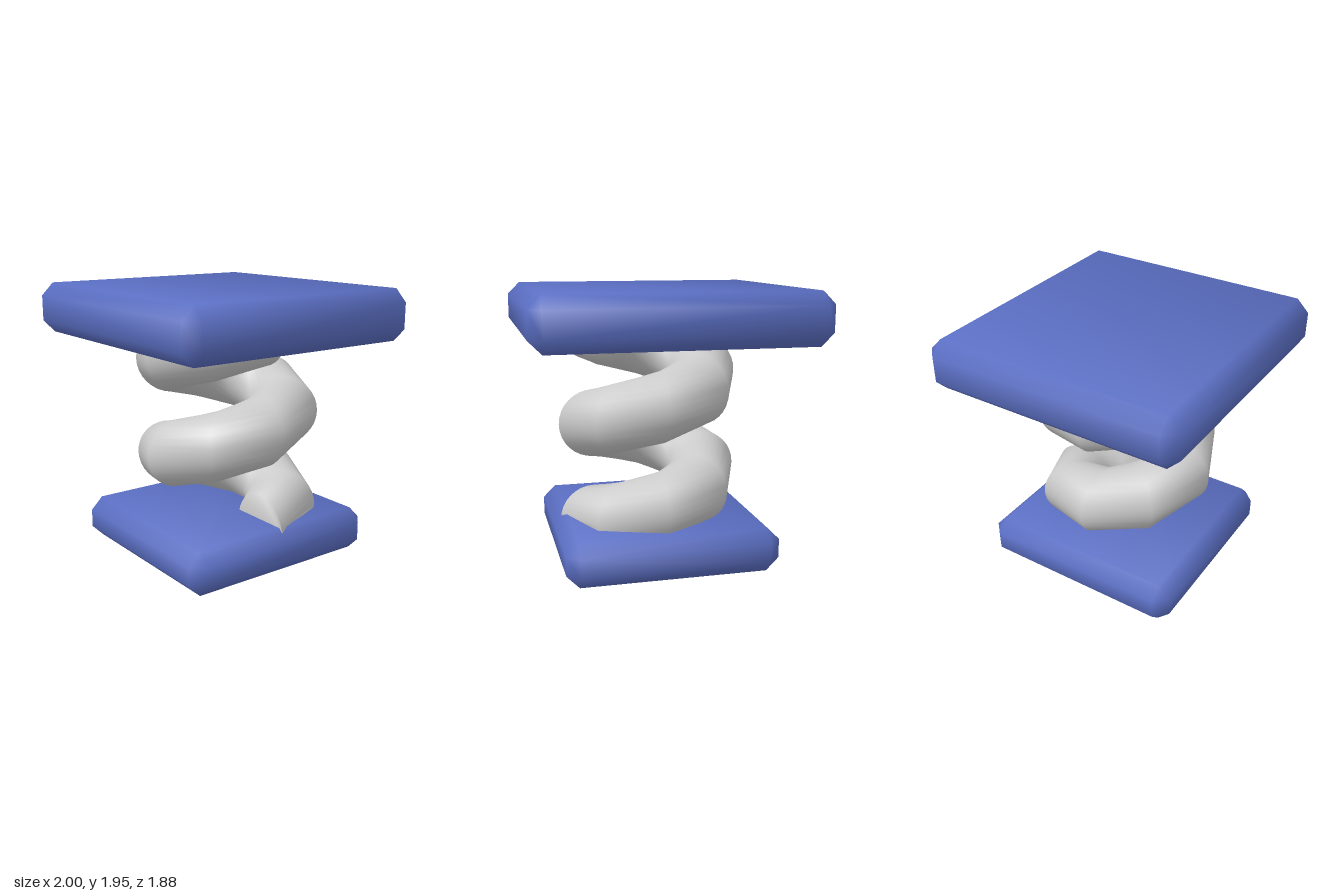
import * as THREE from 'three';
import { ConvexGeometry } from 'three/addons/geometries/ConvexGeometry.js';

const blue = new THREE.MeshStandardMaterial({ color: 0x5b6fc4 });
const grey = new THREE.MeshStandardMaterial({ color: 0xcccccc });

// Chamfered slab whose normals blend softly across the bevels
function plate(name, size, center, bevel) {
  const half = size.map((s) => s / 2);
  const points = [];
  for (const sx of [-1, 1]) for (const sy of [-1, 1]) for (const sz of [-1, 1]) {
    for (let axis = 0; axis < 3; axis++) {
      const p = [sx, sy, sz].map((s, i) => s * (half[i] - (i === axis ? 0 : bevel)));
      points.push(new THREE.Vector3(...p));
    }
  }
  const geometry = new ConvexGeometry(points);
  const pos = geometry.attributes.position;
  for (let v = 0; v < pos.count; v++) {
    const p = [pos.getX(v), pos.getY(v), pos.getZ(v)];
    const n = p.map((c, i) => Math.sign(c) * (half[i] - Math.abs(c) < bevel / 2 ? 1 : 0.39));
    const normal = new THREE.Vector3(...n).normalize();
    geometry.attributes.normal.setXYZ(v, normal.x, normal.y, normal.z);
  }
  const mesh = new THREE.Mesh(geometry, blue);
  mesh.name = name;
  mesh.position.set(...center);
  return mesh;
}

// Round upright section swept around a helix in coarse steps, with closed ends
function coil({ turns, steps, sides, radius, wire, startY, pitch }) {
  const positions = [], index = [];
  const rings = turns * steps;
  for (let i = 0; i <= rings; i++) {
    const angle = (i / steps) * Math.PI * 2;
    const y = startY + (pitch * i) / steps;
    for (let j = 0; j < sides; j++) {
      const a = (j / sides) * Math.PI * 2;
      const r = radius + wire * Math.cos(a);
      positions.push(r * Math.cos(angle), y + wire * Math.sin(a), -r * Math.sin(angle));
    }
  }
  for (let i = 0; i < rings; i++) {
    for (let j = 0; j < sides; j++) {
      const k = (j + 1) % sides;
      const a = i * sides + j, b = i * sides + k;
      index.push(a, b, a + sides, b, b + sides, a + sides);
    }
  }
  // End caps as fans
  const last = rings * sides;
  for (let j = 1; j < sides - 1; j++) {
    index.push(0, j, j + 1, last, last + j + 1, last + j);
  }
  // Wind every face outward: the first ring runs anticlockwise seen from +z
  for (let t = 0; t < rings * sides * 6; t += 3) {
    [index[t + 1], index[t + 2]] = [index[t + 2], index[t + 1]];
  }
  const geometry = new THREE.BufferGeometry();
  geometry.setAttribute('position', new THREE.Float32BufferAttribute(positions, 3));
  geometry.setIndex(index);
  geometry.computeVertexNormals();
  return geometry;
}

export function createModel() {
  const group = new THREE.Group();
  group.name = 'springPlatform';

  group.add(plate('topPlate', [2, 0.365, 1.88], [0, 1.767, 0], 0.09));
  group.add(plate('basePlate', [1.495, 0.315, 1.55], [0.033, 0.1575, -0.025], 0.09));

  const spring = new THREE.Mesh(
    coil({ turns: 2, steps: 8, sides: 32, radius: 0.41, wire: 0.248, startY: 0.255, pitch: 0.715 }),
    grey
  );
  spring.name = 'spring';
  spring.position.set(0.067, 0, -0.02);
  spring.scale.z = 1.025;
  group.add(spring);

  return group;
}
